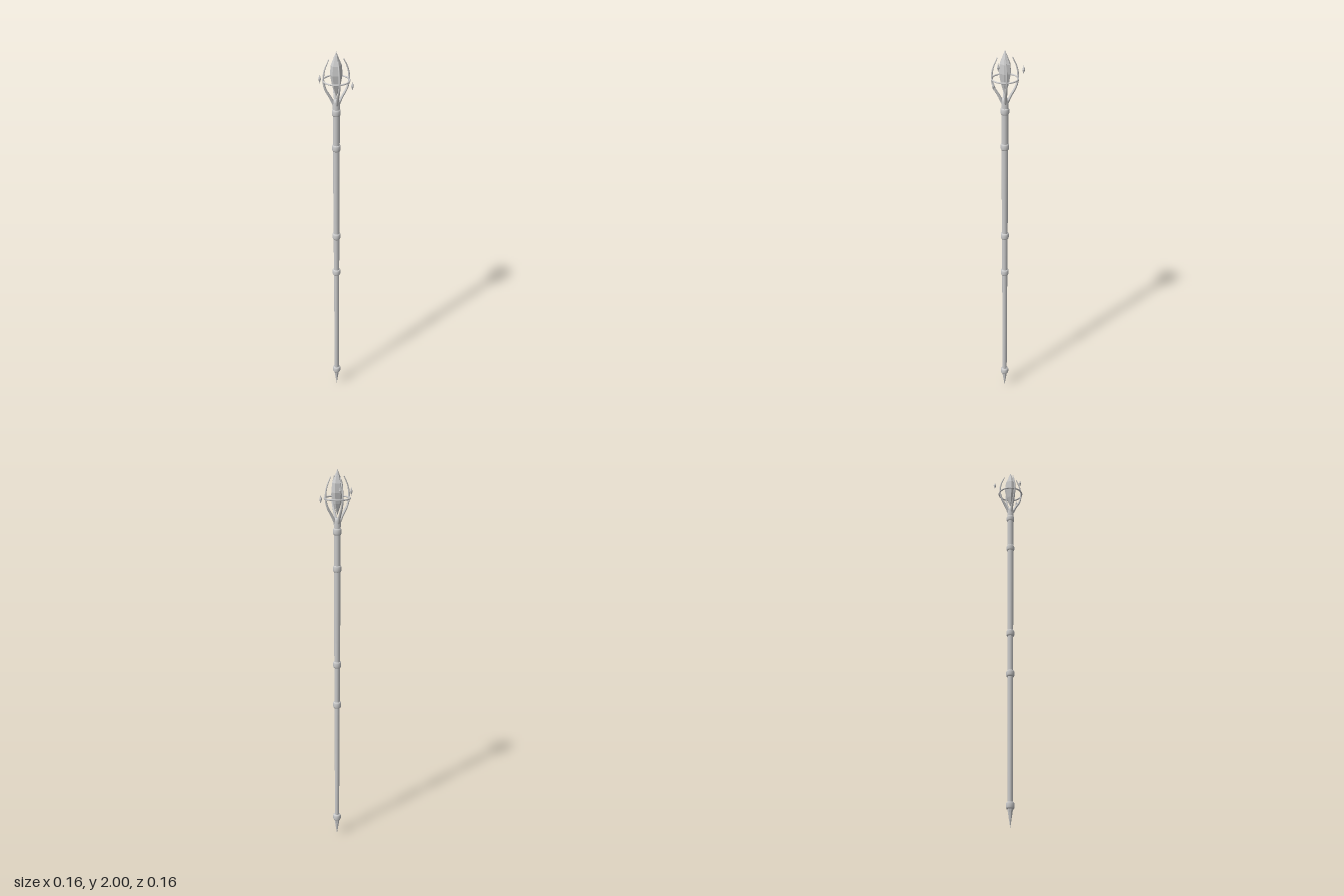
import * as THREE from 'three';

const AXIS_X = -0.014;
const smooth = new THREE.MeshStandardMaterial({ color: 0xcccccc, side: THREE.DoubleSide });
const faceted = new THREE.MeshStandardMaterial({ color: 0xcccccc, flatShading: true });

function add(parent, name, geometry, material, y = 0) {
  const mesh = new THREE.Mesh(geometry, material);
  mesh.name = name;
  mesh.position.y = y;
  parent.add(mesh);
  return mesh;
}

function lathe(points, sides) {
  return new THREE.LatheGeometry(points.map(([r, y]) => new THREE.Vector2(r, y)), sides);
}

// Tube along a curve whose radius shrinks from r0 to r1
function taperedTube(curve, r0, r1, segments, sides) {
  const geo = new THREE.TubeGeometry(curve, segments, 1, sides);
  const pos = geo.attributes.position;
  const v = new THREE.Vector3();
  for (let i = 0; i < pos.count; i++) {
    const t = Math.floor(i / (sides + 1)) / segments;
    const c = curve.getPointAt(t);
    v.fromBufferAttribute(pos, i).sub(c).multiplyScalar(r0 + (r1 - r0) * t).add(c);
    pos.setXYZ(i, v.x, v.y, v.z);
  }
  geo.computeVertexNormals();
  return geo;
}

export function createModel() {
  const staff = new THREE.Group();
  staff.name = 'staff';
  staff.position.set(AXIS_X, 0, -0.001);

  // Tapered shaft and the pointed foot
  add(staff, 'shaft', lathe([[0, 0.09], [0.012, 0.09], [0.0125, 0.4], [0.0145, 0.9],
    [0.0165, 1.4], [0.0165, 1.7], [0.018, 1.75], [0.013, 1.765], [0, 1.765]], 12), smooth);
  add(staff, 'footSpike', lathe([[0, 0], [0.008, 0.05], [0.015, 0.095], [0, 0.1]], 8), faceted);

  // Rounded collars along the shaft
  for (const y of [0.107, 0.78, 1.005, 1.512, 1.698]) {
    add(staff, 'collar', lathe([[0.012, -0.017], [0.018, -0.016], [0.021, -0.009],
      [0.021, 0.009], [0.018, 0.016], [0.012, 0.017]], 16), smooth, y);
  }

  // Four curved prongs on the diagonals, closed by small tips
  const prongCurve = new THREE.CatmullRomCurve3([[0.011, 1.74], [0.027, 1.775], [0.052, 1.82],
    [0.062, 1.865], [0.056, 1.915], [0.036, 1.963]].map(([r, y]) => new THREE.Vector3(r, y, 0)));
  const prongGeo = taperedTube(prongCurve, 0.0075, 0.0025, 20, 8);
  for (let i = 0; i < 4; i++) {
    const prong = new THREE.Group();
    prong.name = 'prong';
    prong.rotation.y = Math.PI / 4 + i * Math.PI / 2;
    add(prong, 'prongArm', prongGeo, smooth);
    const tip = add(prong, 'prongTip', new THREE.SphereGeometry(0.0025, 8, 6), smooth, 1.963);
    tip.position.x = 0.036;
    staff.add(prong);
  }

  // Level ring around the prongs
  const ring = add(staff, 'ring', new THREE.TorusGeometry(0.0625, 0.004, 8, 40), smooth, 1.861);
  ring.rotation.x = Math.PI / 2;

  // Six-sided crystal, narrower across x
  const crystal = add(staff, 'crystal', lathe([[0, 1.778], [0.022, 1.835], [0.033, 1.89],
    [0.029, 1.935], [0, 2]], 6), faceted);
  crystal.scale.x = 0.86;

  // Three shards floating outside the ring
  const shardGeo = lathe([[0, -0.021], [0.0075, 0], [0, 0.021]], 5);
  [1.85, 1.884, 1.91].forEach((y, i) => {
    const a = i * Math.PI * 2 / 3;
    const shard = add(staff, 'shard', shardGeo, faceted, y);
    shard.position.x = 0.087 * Math.cos(a);
    shard.position.z = 0.087 * Math.sin(a);
  });

  const model = new THREE.Group();
  model.name = 'crystalStaff';
  model.add(staff);
  return model;
}
